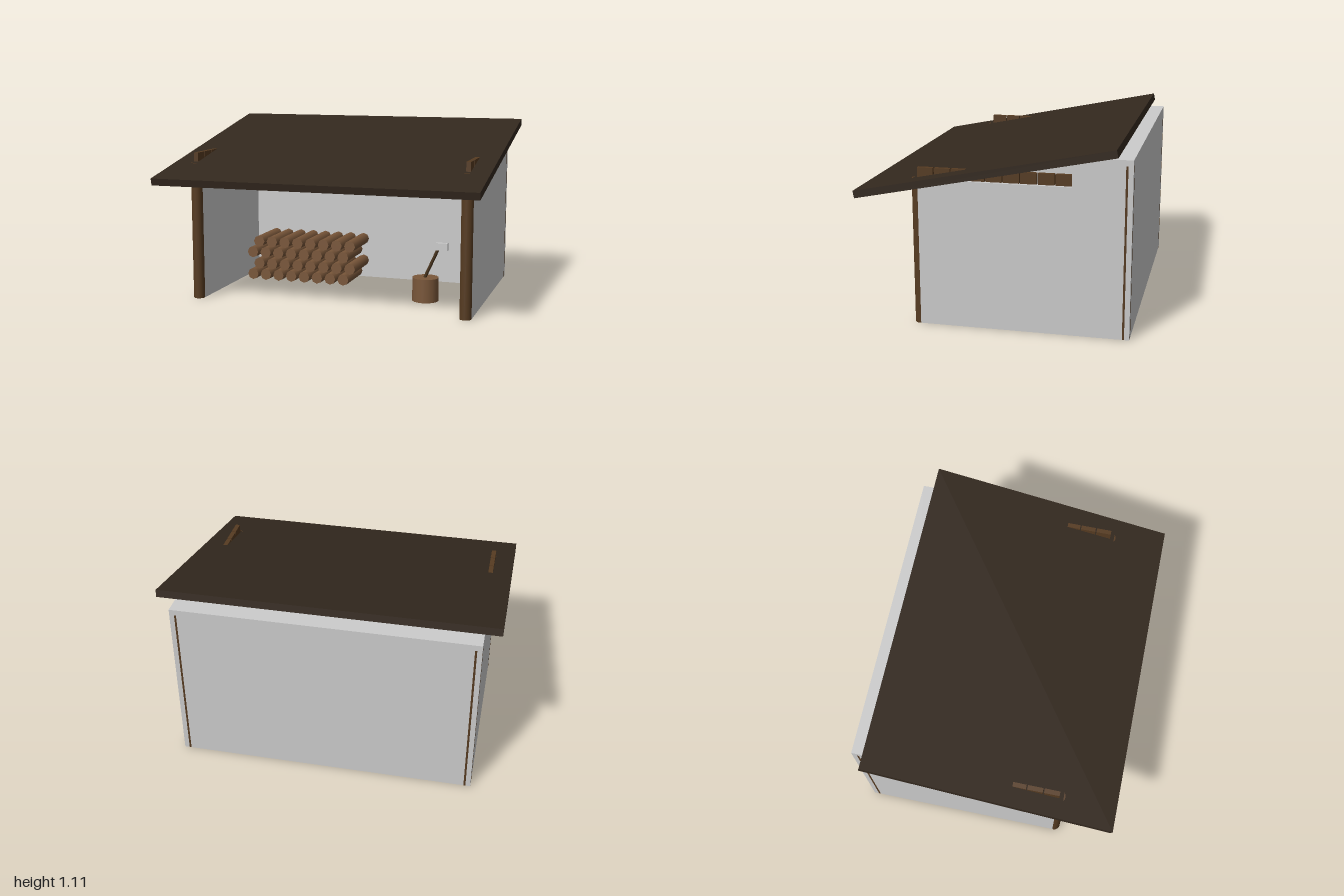
import * as THREE from 'three';

const paint = (name, color) => {
  const m = new THREE.MeshStandardMaterial({ color });
  m.name = name;
  return m;
};

export function createModel() {
  const group = new THREE.Group();
  group.name = 'woodShed';
  const plaster = paint('grey', 0xcccccc);
  const roofWood = paint('darkRoofWood', 0x33281e);
  const postWood = paint('postWood', 0x563b21);
  const logWood = paint('logWood', 0x7a573a);
  const handleWood = paint('handleWood', 0x463119);

  const add = (name, geometry, material, x, y, z) => {
    const mesh = new THREE.Mesh(geometry, material);
    mesh.name = name;
    mesh.position.set(x, y, z);
    group.add(mesh);
    return mesh;
  };
  const box = (name, w, h, d, material, x, y, z) =>
    add(name, new THREE.BoxGeometry(w, h, d), material, x, y, z);

  // Sloping roof slab
  box('roof', 2, 0.044, 1.526, roofWood, 0, 0.935, 0.034).rotation.x = 0.2;

  // Thick back wall
  box('backWall', 1.8, 1.035, 0.335, plaster, 0, 0.5175, -0.6225);

  // Side walls, posts and the row of blocks along each wall top
  for (const side of [-1, 1]) {
    const label = side > 0 ? 'left' : 'right';
    box(label + 'Wall', 0.07, 0.868, 0.895, plaster, side * 0.865, 0.434, -0.0075);
    for (const [end, z, h] of [['Front', 0.44, 0.87], ['Back', -0.755, 1]]) {
      add(label + end + 'Post', new THREE.CylinderGeometry(0.0362, 0.0362, h, 16),
        postWood, side * 0.865, h / 2, z);
    }
    for (let i = 0; i < 9; i++) {
      box(label + 'WallBlock', 0.028, 0.064, 0.093, postWood,
        side * 0.867, 0.9, 0.394 - i * 0.1);
    }
  }

  // Stacked firewood, alternate rows shifted by half a log
  const logGeometry = new THREE.CylinderGeometry(0.0385, 0.0385, 0.36, 8);
  logGeometry.rotateX(Math.PI / 2);
  for (let row = 0; row < 4; row++) {
    for (let i = 0; i < 8; i++) {
      add('log', logGeometry, logWood,
        -0.737 + (row % 2) * 0.047 + i * 0.0932, 0.04 + row * 0.077, -0.31);
    }
  }

  // Chopping block with an axe stuck in it
  const blockZ = 0.075;
  add('choppingBlock', new THREE.CylinderGeometry(0.084, 0.084, 0.15, 16),
    logWood, 0.534, 0.075, blockZ);
  add('axeHandle', new THREE.CylinderGeometry(0.01, 0.01, 0.24, 8),
    handleWood, 0.565, 0.228, blockZ).rotation.z = -0.42;
  box('axeHead', 0.078, 0.046, 0.025, plaster, 0.636, 0.352, blockZ);

  return group;
}
